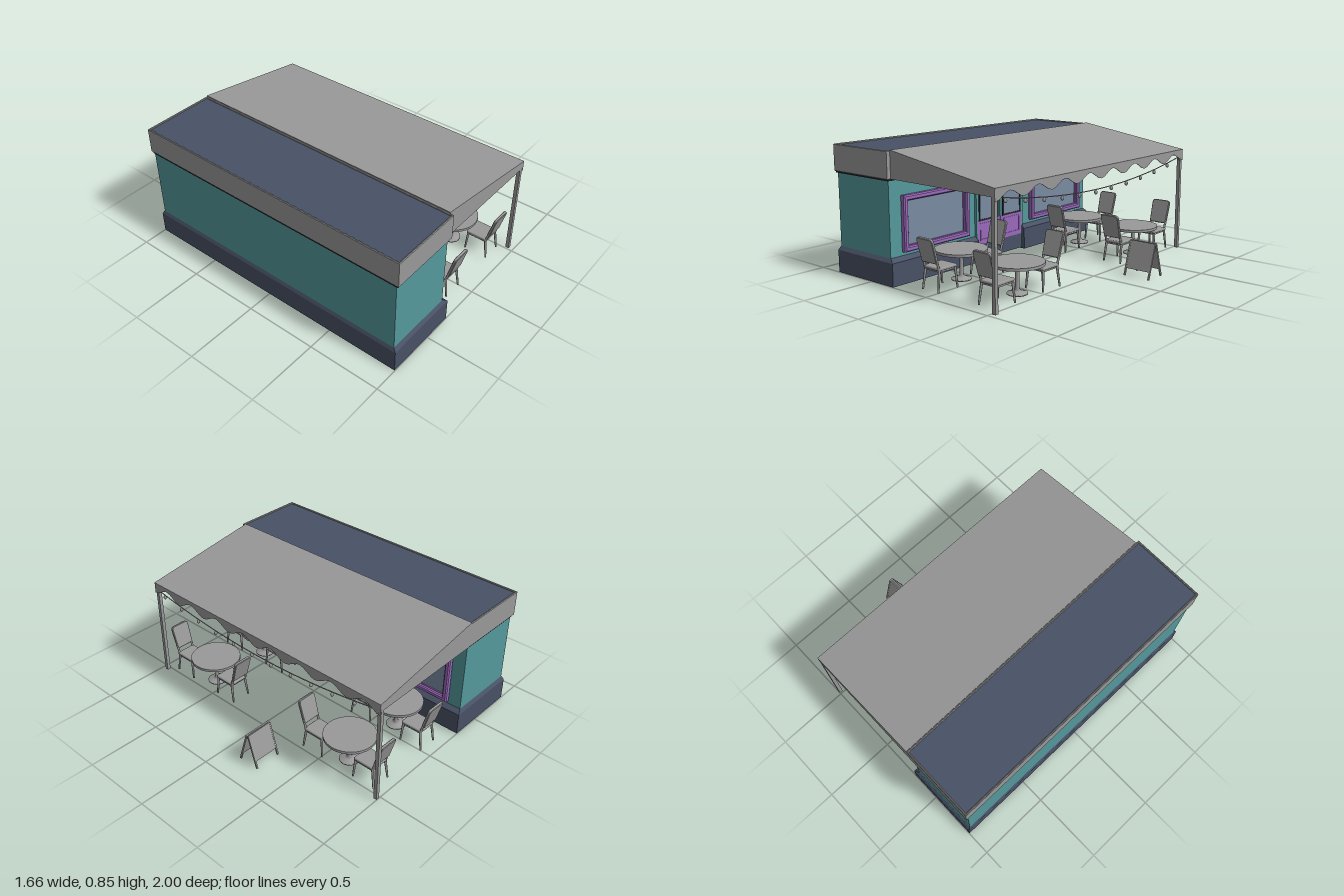
import * as THREE from 'three';
import { RoundedBoxGeometry } from 'three/addons/geometries/RoundedBoxGeometry.js';

const mat = (name, color, side = THREE.FrontSide) => {
  const m = new THREE.MeshStandardMaterial({ color, side });
  m.name = name;
  return m;
};

export function createModel() {
  const D = THREE.DoubleSide;
  const grey = mat('grey', 0x999999, D);
  const teal = mat('teal', 0x55999b, D);
  const navy = mat('navy', 0x485166, D);
  const purple = mat('purple', 0x9a69bb);
  const glass = mat('glass', 0x7a8aa2);
  const black = mat('black', 0x2c2c32);

  const model = new THREE.Group();
  model.name = 'cafe';

  const add = (parent, name, geo, material, x = 0, y = 0, z = 0) => {
    const m = new THREE.Mesh(geo, material);
    m.name = name;
    m.position.set(x, y, z);
    parent.add(m);
    return m;
  };
  const group = (parent, name, x = 0, y = 0, z = 0) => {
    const g = new THREE.Group();
    g.name = name;
    g.position.set(x, y, z);
    parent.add(g);
    return g;
  };
  const box = (w, h, d) => new THREE.BoxGeometry(w, h, d);
  const shapeOf = (pts) => new THREE.Shape(pts.map(([a, b]) => new THREE.Vector2(a, b)));
  const rectPts = (w, h) => [[-w / 2, -h / 2], [w / 2, -h / 2], [w / 2, h / 2], [-w / 2, h / 2]];
  const extrude = (shape, depth, bevel = 0) => new THREE.ExtrudeGeometry(shape, {
    depth, bevelEnabled: bevel > 0, bevelSize: bevel, bevelThickness: bevel, bevelOffset: -bevel,
    bevelSegments: 1, curveSegments: 6,
  });
  // Rectangular border with a hole
  const border = (w, h, t, depth, bevel = 0) => {
    const s = shapeOf(rectPts(w, h));
    s.holes.push(shapeOf(rectPts(w - 2 * t, h - 2 * t)));
    return extrude(s, depth, bevel);
  };
  // Sheet through loops of [x, z] points, each at its own height
  const ribbon = (rows) => {
    const v = [];
    for (let r = 0; r < rows.length - 1; r++) {
      const [a, b] = [rows[r], rows[r + 1]];
      for (let i = 0; i < a.pts.length - 1; i++) {
        const p = (row, k) => [row.pts[k][0], row.y, row.pts[k][1]];
        const [p0, p1, q0, q1] = [p(a, i), p(a, i + 1), p(b, i), p(b, i + 1)];
        v.push(...p0, ...p1, ...q1, ...p0, ...q1, ...q0);
      }
    }
    const g = new THREE.BufferGeometry();
    g.setAttribute('position', new THREE.Float32BufferAttribute(v, 3));
    g.computeVertexNormals();
    return g;
  };
  // Tapered rod between two points
  const rod = (parent, name, a, b, r0, r1, material) => {
    const [p, q] = [new THREE.Vector3(...a), new THREE.Vector3(...b)];
    const dir = q.clone().sub(p);
    const m = add(parent, name, new THREE.CylinderGeometry(r1, r0, dir.length(), 8), material);
    m.position.copy(p).add(q).multiplyScalar(0.5);
    m.quaternion.setFromUnitVectors(new THREE.Vector3(0, 1, 0), dir.normalize());
  };

  // Building shell: walls, and a plinth that breaks at the doorway
  const building = group(model, 'building');
  const wall = [[-0.33, 0.98], [-0.33, -0.98], [-0.82, -0.98], [-0.82, 0.98], [-0.33, 0.98]];
  add(building, 'walls', ribbon([{ y: 0.165, pts: wall }, { y: 0.69, pts: wall }]), teal);
  const plinth = (xf, xb, z) => [[-0.33, 0.235], [xf, 0.235], [xf, z], [xb, z], [xb, -z], [xf, -z], [xf, -0.235], [-0.33, -0.235]];
  const outer = plinth(-0.295, -0.83, 0.998);
  add(building, 'plinth', ribbon([
    { y: 0, pts: outer }, { y: 0.15, pts: outer }, { y: 0.175, pts: plinth(-0.328, -0.821, 0.981) },
  ]), navy);

  // Parapet and sunken flat roof
  const parapet = add(building, 'parapet', border(0.515, 1.998, 0.012, 0.18, 0.004), grey, -0.5725, 0.674, 0);
  parapet.rotation.x = -Math.PI / 2;
  parapet.geometry.scale(1, 1, 0.176 / 0.188);
  add(building, 'parapetTrim', border(0.505, 1.98, 0.012, 0.012), black, -0.5725, 0.66, 0).rotation.x = -Math.PI / 2;
  add(building, 'roof', box(0.495, 0.01, 1.978), navy, -0.5725, 0.832, 0);

  // Shopfront: local x runs along the wall, local z points outward
  const facade = group(model, 'shopfront', -0.33, 0, 0);
  facade.rotation.y = Math.PI / 2;
  for (const s of [-1, 1]) {
    const win = group(facade, 'window', s * 0.605, 0.38, 0);
    add(win, 'windowFrame', border(0.575, 0.36, 0.035, 0.025, 0.008), purple, 0, 0, 0.008);
    add(win, 'windowInnerFrame', border(0.51, 0.305, 0.012, 0.02), purple);
    add(win, 'windowPane', box(0.5, 0.3, 0.008), glass, 0, 0, 0.008);
    // Door leaf in three bands with a framed pane
    const door = group(facade, 'door', s * 0.117, 0, 0);
    add(door, 'doorTop', box(0.228, 0.27, 0.02), teal, 0, 0.415, 0.004);
    add(door, 'doorPanel', box(0.228, 0.165, 0.022), purple, 0, 0.1975, 0.006);
    add(door, 'kickPlate', box(0.228, 0.105, 0.02), navy, 0, 0.0625, 0.004);
    add(door, 'doorMoulding', border(0.17, 0.12, 0.008, 0.005), purple, 0, 0.2, 0.016);
    add(door, 'doorPaneFrame', border(0.19, 0.235, 0.01, 0.01), black, 0, 0.395, 0.012);
    add(door, 'doorPane', box(0.175, 0.22, 0.006), glass, 0, 0.395, 0.014);
    add(facade, 'doorJamb', box(0.01, 0.545, 0.025), teal, s * 0.233, 0.28, 0.005);
  }
  add(facade, 'doorHead', box(0.47, 0.008, 0.025), teal, 0, 0.551, 0.005);

  // Awning: sloping sheet, side cheeks, scalloped valance
  const awning = group(model, 'awning');
  const slope = shapeOf([[-0.315, 0.84], [0.54, 0.71], [0.54, 0.72], [-0.315, 0.85]]);
  add(awning, 'awningSheet', extrude(slope, 1.97), grey, 0, 0, -0.998);
  const cheek = shapeOf([[-0.315, 0.672], [0.54, 0.668], [0.54, 0.72], [-0.315, 0.85]]);
  for (const z of [-0.999, 0.967]) add(awning, 'awningCheek', extrude(cheek, 0.006), grey, 0, 0, z);
  const hem = [[0.998, 0.72], [-0.972, 0.72]];
  const waves = 8;
  for (let i = 0; i <= waves * 8; i++) {
    const t = i / (waves * 8);
    hem.push([-0.972 + 1.97 * t, 0.667 + 0.025 * Math.cos(t * waves * Math.PI * 2 + Math.PI)]);
  }
  const valance = add(awning, 'valance', extrude(shapeOf(hem), 0.005), grey, 0.536, 0, 0);
  valance.rotation.y = Math.PI / 2;
  for (const z of [0.958, -0.987]) add(awning, 'post', box(0.024, 0.71, 0.024), grey, 0.522, 0.355, z);

  // Sagging string of lights
  const lights = group(model, 'stringLights', 0.533, 0, 0);
  const sag = (z) => 0.577 + 0.09 * (z / 0.95) ** 2;
  const line = [];
  for (let i = 0; i <= 12; i++) {
    const z = 0.955 - i * 0.161;
    line.push(new THREE.Vector3(0, sag(z), z));
  }
  add(lights, 'wire', new THREE.TubeGeometry(new THREE.CatmullRomCurve3(line), 36, 0.0035, 5), grey);
  for (let i = 0; i < 12; i++) {
    const z = 0.88 - i * 0.1685;
    add(lights, 'bulb', new THREE.SphereGeometry(0.011, 10, 8), grey, 0, sag(z) - 0.017, z).scale.y = 1.3;
  }

  // Chair facing -z, with a leaning rounded back
  const backShape = new THREE.Shape();
  backShape.moveTo(-0.066, 0);
  backShape.lineTo(0.066, 0);
  backShape.lineTo(0.07, 0.14);
  backShape.quadraticCurveTo(0.07, 0.167, 0.045, 0.167);
  backShape.lineTo(-0.045, 0.167);
  backShape.quadraticCurveTo(-0.07, 0.167, -0.07, 0.14);
  const backGeo = extrude(backShape, 0.012, 0.004);
  const seatGeo = new RoundedBoxGeometry(0.14, 0.02, 0.155, 2, 0.008);
  const makeChair = (x, z, turn) => {
    const c = group(model, 'chair', x, 0, z);
    c.rotation.y = turn;
    add(c, 'seat', seatGeo, grey, 0, 0.142, 0);
    add(c, 'seatRail', box(0.125, 0.012, 0.135), grey, 0, 0.128, 0);
    add(c, 'chairBack', backGeo, grey, 0, 0.18, 0.076).rotation.x = 0.27;
    for (const s of [-1, 1]) {
      rod(c, 'frontLeg', [s * 0.068, 0, -0.077], [s * 0.06, 0.135, -0.066], 0.006, 0.009, grey);
      rod(c, 'backLeg', [s * 0.068, 0, 0.085], [s * 0.06, 0.135, 0.066], 0.006, 0.009, grey);
      rod(c, 'backUpright', [s * 0.06, 0.13, 0.066], [s * 0.06, 0.3, 0.115], 0.008, 0.007, grey);
    }
  };

  // Pedestal tables, each with a pair of chairs
  const pedestal = [[0, 0], [0.065, 0], [0.065, 0.008], [0.03, 0.018], [0.014, 0.03], [0.012, 0.165], [0.03, 0.186]]
    .map(([r, y]) => new THREE.Vector2(r, y));
  for (const x of [-0.105, 0.367]) {
    for (const z of [0.595, -0.643]) {
      const t = group(model, 'table', x, 0, z);
      add(t, 'tableTop', new THREE.CylinderGeometry(0.171, 0.171, 0.018, 28), grey, 0, 0.195, 0);
      add(t, 'pedestal', new THREE.LatheGeometry(pedestal, 18), grey);
      makeChair(x + 0.035, z + 0.215, 0);
      makeChair(x + 0.035, z - 0.195, Math.PI);
    }
  }

  // Folding pavement board
  const board = group(model, 'pavementBoard', 0.735, 0, -0.21);
  for (const s of [-1, 1]) {
    const leaf = group(board, 'boardLeaf', 0, 0.226, s * 0.006);
    leaf.rotation.x = -s * 0.29;
    add(leaf, 'boardPanel', box(0.188, 0.185, 0.009), grey, 0, -0.0925, 0);
    for (const e of [-1, 1]) add(leaf, 'boardLeg', box(0.01, 0.234, 0.012), grey, e * 0.09, -0.117, 0);
  }
  return model;
}
